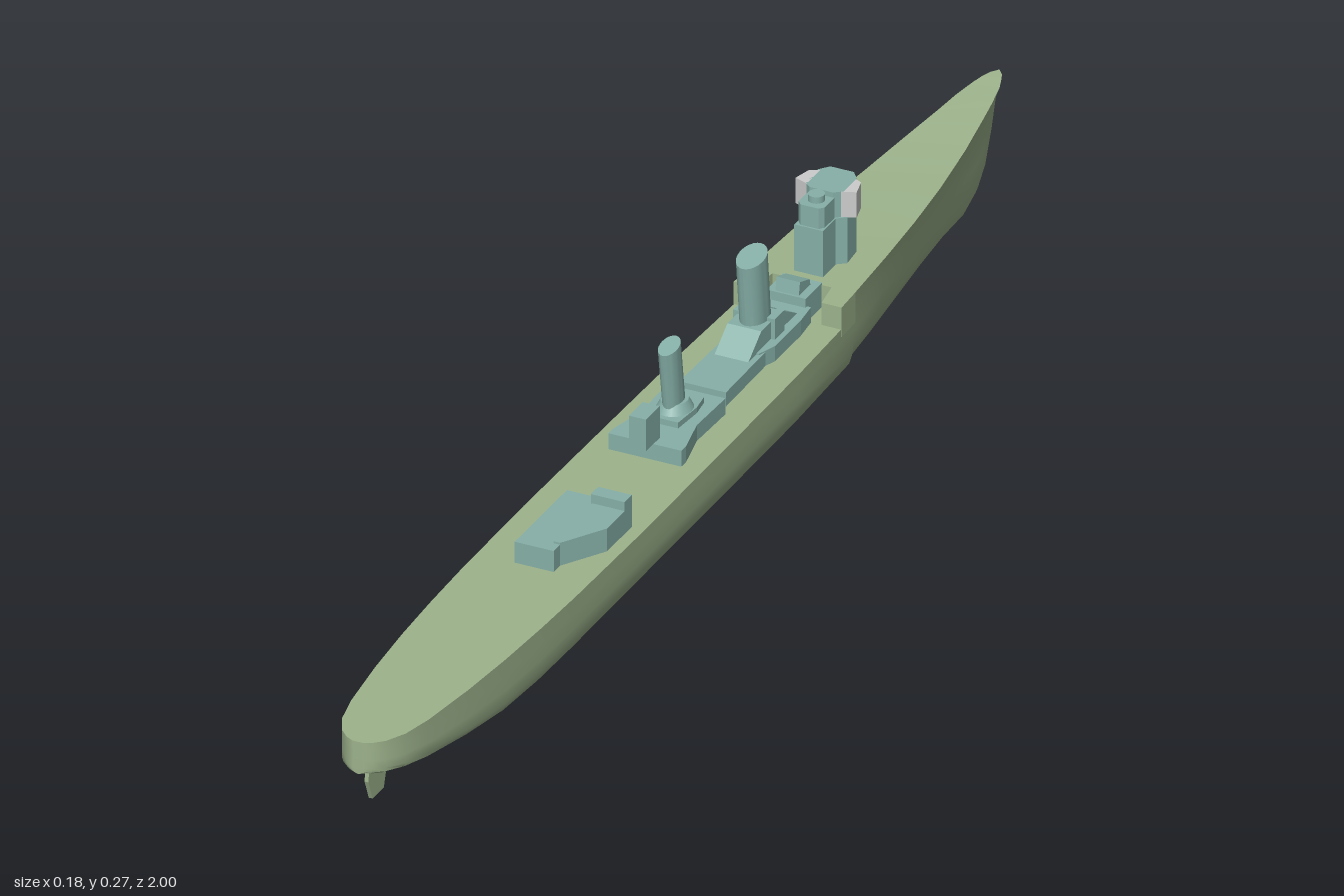
import * as THREE from 'three';
import { toCreasedNormals } from 'three/addons/utils/BufferGeometryUtils.js';

const green = new THREE.MeshStandardMaterial({ color: 0x9db38c, side: THREE.DoubleSide });
const teal = new THREE.MeshStandardMaterial({ color: 0x86b0a8 });
const grey = new THREE.MeshStandardMaterial({ color: 0xcccccc });

function add(parent, name, geometry, material) {
  const mesh = new THREE.Mesh(geometry, material);
  mesh.name = name;
  parent.add(mesh);
  return mesh;
}

// Box given by its limits on each axis
function box(x0, x1, y0, y1, z0, z1) {
  return new THREE.BoxGeometry(x1 - x0, y1 - y0, z1 - z0)
    .translate((x0 + x1) / 2, (y0 + y1) / 2, (z0 + z1) / 2);
}

// Prism raised from a plan outline of [x, z] points
function prism(points, y0, y1) {
  const shape = new THREE.Shape(points.map(([x, z]) => new THREE.Vector2(x, -z)));
  return new THREE.ExtrudeGeometry(shape, { depth: y1 - y0, bevelEnabled: false })
    .rotateX(-Math.PI / 2).translate(0, y0, 0);
}

// Prism across the ship from a side outline of [z, y] points
function sideProfile(points, halfWidth) {
  const shape = new THREE.Shape(points.map(([z, y]) => new THREE.Vector2(-z, y)));
  return new THREE.ExtrudeGeometry(shape, { depth: halfWidth * 2, bevelEnabled: false })
    .translate(0, 0, -halfWidth).rotateY(Math.PI / 2);
}

// Symmetric plan outline from its +x half, listed from fore to aft
function mirrored(half) {
  return [...half, ...half.map(([x, z]) => [-x, z]).reverse()];
}

// Oval funnel leaning aft with a sloping top
function funnel(rx, rz, y0, y1, z, rake, slope) {
  const g = new THREE.CylinderGeometry(1, 1, 1, 24).scale(rx, y1 - y0, rz).translate(0, (y0 + y1) / 2, 0);
  const p = g.attributes.position;
  for (let i = 0; i < p.count; i++) {
    const t = (p.getY(i) - y0) / (y1 - y0);
    p.setY(i, p.getY(i) - t * slope * (p.getZ(i) / rz + 1));
    p.setZ(i, p.getZ(i) + z + rake * t);
  }
  return toCreasedNormals(g, 0.6);
}

// Half sections as [breadth, height] fractions, keel to deck
const bowSection = [[0, 0], [.1, .02], [.24, .09], [.38, .27], [.47, .45], [.56, .63], [.73, .84], [1, 1]];
const midSection = [[0, 0], [.38, .06], [.74, .14], [.92, .3], [.98, .45], [1, .6], [1, .8], [1, 1]];
const sternSection = [[0, 0], [.4, .02], [.82, .05], [.95, .1], [1, .2], [1, .45], [1, .7], [1, 1]];

// Hull stations: z, deck half breadth, deck height, keel height
const stations = [
  [-1, 0, .172, .17], [-.99, .009, .171, .15], [-.975, .015, .17, .12], [-.96, .02, .168, .075],
  [-.945, .023, .167, .04], [-.92, .028, .165, .015], [-.88, .034, .161, 0], [-.8, .046, .155, 0],
  [-.7, .058, .15, 0], [-.6, .068, .149, 0], [-.5, .075, .148, 0], [-.385, .081, .147, 0],
  [-.385, .081, .112, 0], [-.2, .086, .112, 0], [0, .088, .112, 0], [.3, .09, .112, 0],
  [.5, .088, .112, .002], [.6, .085, .112, .006], [.7, .08, .112, .014], [.8, .072, .112, .03],
  [.9, .06, .112, .046], [.95, .049, .112, .054], [.98, .034, .112, .058], [.994, .02, .112, .06],
  [1, .008, .112, .061], [1, 0, .112, .061]
];

function hullGeometry() {
  const positions = [], index = [], n = midSection.length * 2 - 1;
  stations.forEach(([z, b, deck, keel]) => {
    const bow = THREE.MathUtils.smoothstep(-z, .3, .95), stern = THREE.MathUtils.smoothstep(z, .3, .95);
    for (let j = 0; j < n; j++) {
      const k = Math.abs(j - (n - 1) / 2), side = j < (n - 1) / 2 ? -1 : 1;
      const [x, y] = [0, 1].map(a => midSection[k][a] * (1 - bow - stern)
        + bowSection[k][a] * bow + sternSection[k][a] * stern);
      positions.push(side * x * b, keel + (deck - keel) * y, z);
    }
  });
  // The last step of each ring closes it across the deck
  for (let i = 0; i < stations.length - 1; i++) {
    for (let j = 0; j < n; j++) {
      const a = i * n + j, b = i * n + (j + 1) % n;
      index.push(a, b, b + n, a, b + n, a + n);
    }
  }
  const g = new THREE.BufferGeometry();
  g.setAttribute('position', new THREE.Float32BufferAttribute(positions, 3));
  g.setIndex(index);
  return toCreasedNormals(g, 0.6);
}

export function createModel() {
  const ship = new THREE.Group();
  ship.name = 'warship';

  add(ship, 'hull', hullGeometry(), green);
  add(ship, 'skeg', sideProfile([[.45, 0], [.45, .01], [.8, .032], [.7, .012], [.68, 0]], .002), green);
  add(ship, 'rudder', sideProfile([[.92, .06], [.97, .06], [.973, .035], [.96, .003], [.925, .003], [.915, .035]], .003), green);
  // Forecastle sides run aft past the break
  for (const s of [-1, 1]) {
    add(ship, 'forecastleSide', prism([[s * .045, -.387], [s * .081, -.387], [s * .083, -.34], [s * .052, -.34]], .1, .147), green);
  }

  // Bridge
  const bridge = new THREE.Group();
  bridge.name = 'bridge';
  ship.add(bridge);
  add(bridge, 'bridgeHouse', prism(mirrored([[.018, -.51], [.032, -.49], [.035, -.455], [.022, -.445], [.022, -.405]]), .14, .22), teal);
  add(bridge, 'wheelhouse', prism(mirrored([[.018, -.51], [.03, -.495], [.03, -.455], [.018, -.445]]), .22, .26), teal);
  add(bridge, 'directorTower', prism(mirrored([[.014, -.452], [.02, -.445], [.02, -.415], [.014, -.408]]), .22, .252), teal);
  add(bridge, 'director', new THREE.CylinderGeometry(.012, .012, .012, 16).translate(0, .256, -.43), teal);
  for (const s of [-1, 1]) {
    add(bridge, 'bridgeWing', prism([[s * .026, -.495], [s * .04, -.488], [s * .047, -.46], [s * .026, -.452]], .22, .26), grey);
  }

  // Forward funnel and its casing
  const fore = new THREE.Group();
  fore.name = 'forwardFunnelGroup';
  ship.add(fore);
  add(fore, 'lowCasing', prism(mirrored([[.034, -.21], [.036, -.075]]), .105, .134), teal);
  add(fore, 'casing', prism(mirrored([[.036, -.34], [.04, -.3], [.04, -.22], [.03, -.19]]), .105, .136), teal);
  add(fore, 'funnelSkirt', sideProfile([[-.32, .134], [-.27, .163], [-.205, .163], [-.165, .134]], .026), teal);
  add(fore, 'funnel', funnel(.02, .029, .15, .27, -.24, .012, .006), teal);
  add(fore, 'deckhouse', box(-.03, .03, .105, .15, -.387, -.335), teal);
  add(fore, 'shelter', sideProfile([[-.375, .148], [-.372, .16], [-.342, .17], [-.338, .148]], .018), teal);
  for (const s of [-1, 1]) {
    add(fore, 'ventilator', box(s * .026 - .006, s * .026 + .006, .13, .168, -.265, -.235), teal);
  }

  // After funnel and its house
  const mid = new THREE.Group();
  mid.name = 'afterFunnelGroup';
  ship.add(mid);
  add(mid, 'house', prism(mirrored([[.045, -.055], [.043, .03], [.056, .09], [.056, .105]]), .105, .137), teal);
  add(mid, 'upperHouse', prism(mirrored([[.024, -.03], [.028, .0], [.024, .05]]), .137, .146), teal);
  add(mid, 'funnelSkirt', new THREE.CylinderGeometry(.019, .027, .016, 20).scale(1, 1, 1.15).translate(0, .152, .012), teal);
  add(mid, 'funnel', funnel(.014, .022, .15, .256, .014, .015, .005), teal);
  add(mid, 'searchlightTower', box(-.013, .013, .137, .187, .085, .128), teal);

  // Aft deckhouse, set off to one side
  const aft = new THREE.Group();
  aft.name = 'aftDeckhouse';
  ship.add(aft);
  add(aft, 'house', box(-.03, .03, .105, .145, .287, .45), teal);
  add(aft, 'sideHouse', prism([[.02, .287], [.07, .287], [.07, .365], [.03, .43], [.02, .43]], .105, .148), teal);
  add(aft, 'raisedBlock', box(.018, .07, .14, .162, .287, .31), teal);

  return ship;
}
